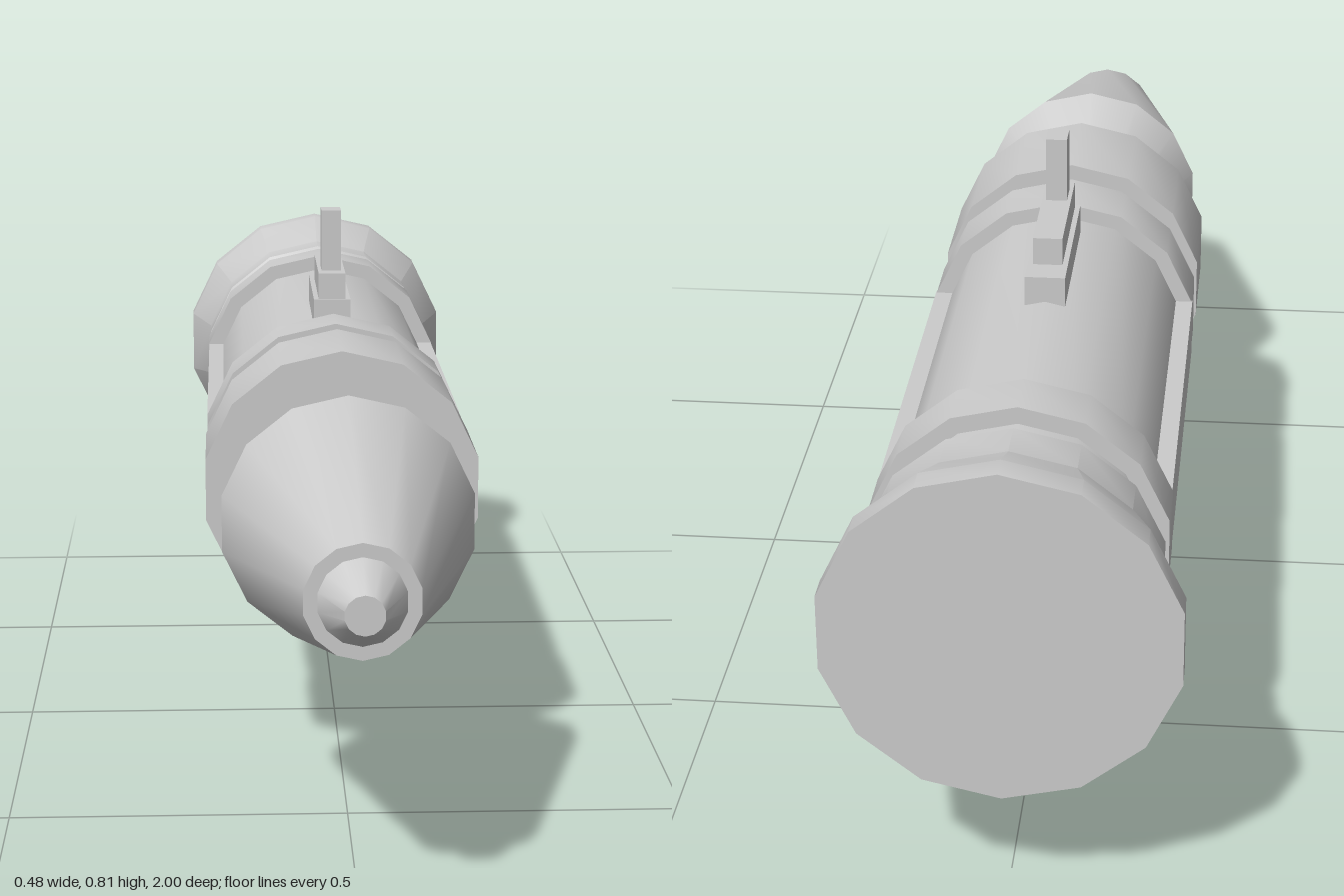
import * as THREE from 'three';
import { toCreasedNormals } from 'three/addons/utils/BufferGeometryUtils.js';

const AXIS_Y = 0.448;
const SIDES = 14;

export function createModel() {
  const model = new THREE.Group();
  model.name = 'shoulderLauncher';
  const material = new THREE.MeshStandardMaterial({ color: 0xcccccc });

  const add = (name, geometry) => {
    const mesh = new THREE.Mesh(geometry, material);
    mesh.name = name;
    model.add(mesh);
    return mesh;
  };

  // Turned part along z: profile of [radius, z] from back to front
  const turned = (name, profile) => {
    const points = profile.map(([r, z]) => new THREE.Vector2(r, z));
    const geometry = new THREE.LatheGeometry(points, SIDES);
    geometry.rotateX(Math.PI / 2);
    add(name, toCreasedNormals(geometry, 0.5)).position.y = AXIS_Y;
  };
  const ring = (name, r, z0, z1) => turned(name, [[0, z0], [r, z0], [r, z1], [0, z1]]);

  // Box given by its limits on each axis
  const box = (name, x0, x1, y0, y1, z0, z1) => {
    const mesh = add(name, new THREE.BoxGeometry(x1 - x0, y1 - y0, z1 - z0));
    mesh.position.set((x0 + x1) / 2, (y0 + y1) / 2, (z0 + z1) / 2);
  };

  // Launch tube and its bands
  ring('launchTube', 0.187, -0.82, 0.15);
  ring('muzzleBand', 0.212, 0.115, 0.305);
  ring('frontBand', 0.21, -0.04, 0.055);
  ring('rearBand', 0.212, -0.75, -0.665);
  turned('exhaustBell', [
    [0, -1], [0.245, -1], [0.245, -0.96], [0.209, -0.87],
    [0.209, -0.805], [0.187, -0.79], [0, -0.79],
  ]);

  // Rocket
  ring('rocketRod', 0.06, 0.29, 0.34);
  turned('warhead', [
    [0, 0.322], [0.065, 0.322], [0.187, 0.515], [0.079, 0.935],
    [0.06, 0.935], [0.027, 1], [0, 1],
  ]);

  // Rails bridging the bands
  box('leftRail', 0.17, 0.206, 0.401, 0.495, -0.67, -0.035);
  box('rightRail', -0.206, -0.17, 0.401, 0.495, -0.67, -0.035);
  box('bottomRail', -0.03, 0.03, 0.213, 0.277, -0.66, -0.04);

  // Sight
  box('sightBase', -0.03, 0.03, 0.62, 0.674, -0.36, -0.083);
  box('sightBlock', -0.022, 0.022, 0.674, 0.716, -0.313, -0.09);
  box('sightPost', -0.016, 0.016, 0.716, 0.815, -0.167, -0.123);

  // Grips
  box('frontGrip', -0.03, 0.03, 0.06, 0.213, -0.345, -0.265);
  box('rearGrip', -0.025, 0.025, 0, 0.213, -0.595, -0.462);

  // Trigger guard
  box('guardFront', -0.016, 0.016, 0.143, 0.213, -0.167, -0.157);
  box('guardBottom', -0.016, 0.016, 0.143, 0.154, -0.265, -0.157);

  // Curved trigger, drawn in (z, y) and extruded across x
  const shape = new THREE.Shape();
  shape.moveTo(-0.23, 0.215);
  shape.quadraticCurveTo(-0.225, 0.18, -0.2, 0.172);
  shape.lineTo(-0.203, 0.163);
  shape.quadraticCurveTo(-0.24, 0.168, -0.25, 0.215);
  const trigger = new THREE.ExtrudeGeometry(shape, { depth: 0.016, bevelEnabled: false, curveSegments: 5 });
  trigger.translate(0, 0, -0.008);
  trigger.rotateY(-Math.PI / 2);
  add('trigger', trigger);

  return model;
}
